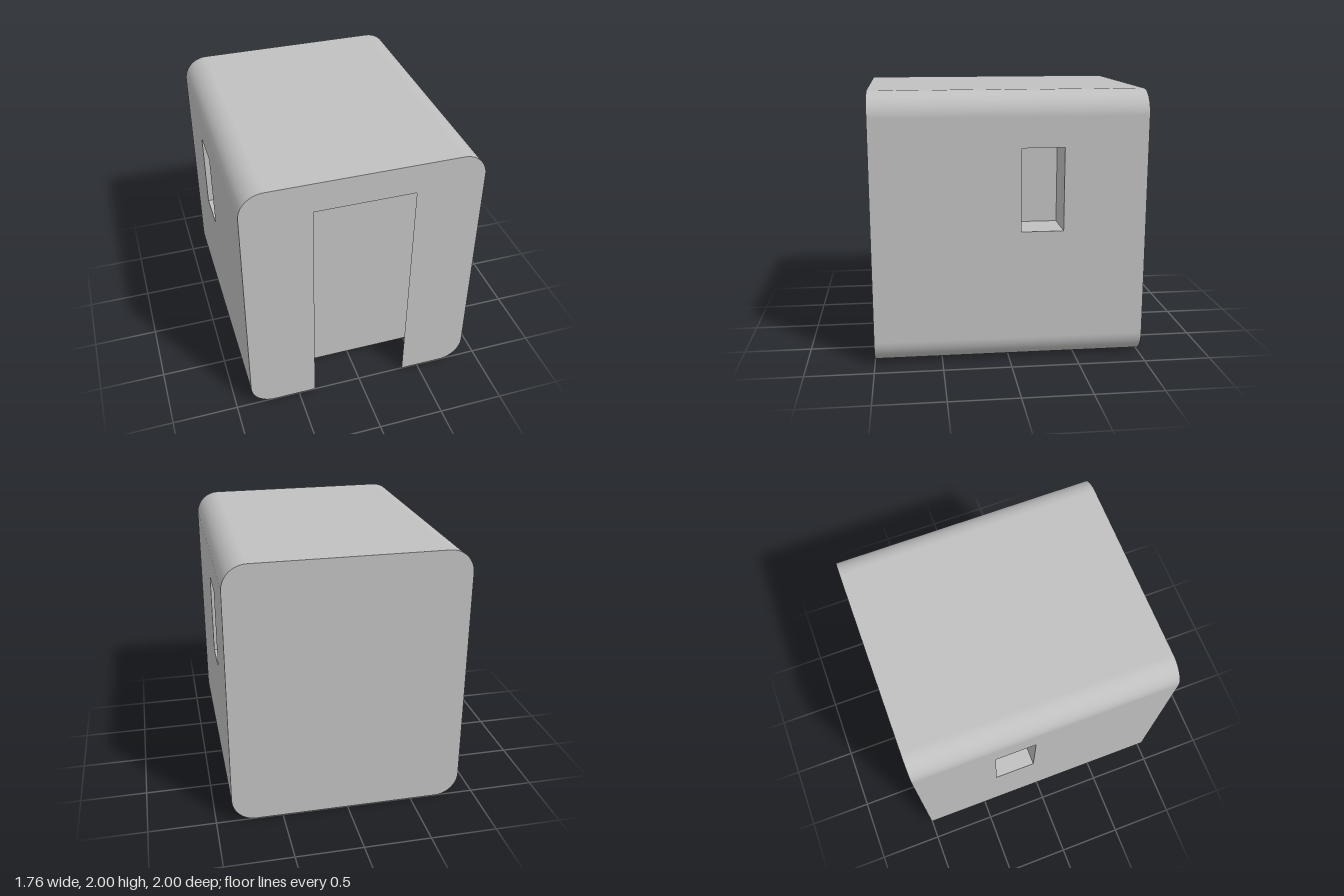
import * as THREE from 'three';

const W = 0.88, H = 2, L = 1, R = 0.18;            // half width, height, half length, corner radius
const DOOR = { w: 0.37, inner: 0.61, h: 1.77, z: 0.69 };
const WIN = { y0: 0.99, y1: 1.6, zFront: -0.08, zBack: -0.39, depth: 0.31 };

const shell = new THREE.MeshStandardMaterial({ color: 0xc0c0c0, side: THREE.DoubleSide });
shell.name = 'lightGrey';

const polygon = (pts) => new THREE.Shape(pts.map(([x, y]) => new THREE.Vector2(x, y)));

// Rounded end outline, optionally with the doorway cut in from the bottom edge
function endShape(withDoor) {
  const s = new THREE.Shape();
  const d = withDoor ? DOOR.w : 0;
  s.moveTo(d, 0);
  s.lineTo(W - R, 0);
  s.absarc(W - R, R, R, -Math.PI / 2, 0);
  s.absarc(W - R, H - R, R, 0, Math.PI / 2);
  s.absarc(-W + R, H - R, R, Math.PI / 2, Math.PI);
  s.absarc(-W + R, R, R, Math.PI, Math.PI * 1.5);
  if (withDoor) {
    s.lineTo(-d, 0);
    s.lineTo(-d, DOOR.h);
    s.lineTo(d, DOOR.h);
  }
  s.closePath();
  return s;
}

// Recess: flat walls from an outer loop to an inner loop, plus the inner face
function recess(outer, inner, closed) {
  const pos = [];
  const quad = (a, b, c, d) => pos.push(...a, ...b, ...c, ...a, ...c, ...d);
  const n = outer.length;
  for (let i = 0; i < (closed ? n : n - 1); i++) {
    const j = (i + 1) % n;
    quad(outer[i], outer[j], inner[j], inner[i]);
  }
  quad(...inner);
  const g = new THREE.BufferGeometry();
  g.setAttribute('position', new THREE.Float32BufferAttribute(pos, 3));
  g.computeVertexNormals();
  return g;
}

export function createModel() {
  const model = new THREE.Group();
  model.name = 'cabin';
  const add = (name, geometry) => {
    const mesh = new THREE.Mesh(geometry, shell);
    mesh.name = name;
    model.add(mesh);
  };

  // End walls
  add('frontWall', new THREE.ShapeGeometry(endShape(true), 16).translate(0, 0, L));
  add('backWall', new THREE.ShapeGeometry(endShape(false), 16).rotateY(Math.PI).translate(0, 0, -L));

  // Roof, and floor with the doorway notch
  add('roof', new THREE.PlaneGeometry(2 * (W - R), 2 * L).rotateX(-Math.PI / 2).translate(0, H, 0));
  const f = W - R;
  add('floor', new THREE.ShapeGeometry(polygon([
    [-f, -L], [f, -L], [f, L], [DOOR.w, L], [DOOR.inner, DOOR.z],
    [-DOOR.inner, DOOR.z], [-DOOR.w, L], [-f, L],
  ])).rotateX(Math.PI / 2));

  // Rounded long edges
  for (let i = 0; i < 4; i++) {
    const side = i < 2 ? 1 : -1;
    const y = i === 1 || i === 2 ? H - R : R;
    add('roundedEdge', new THREE.CylinderGeometry(R, R, 2 * L, 16, 1, true, i * Math.PI / 2, Math.PI / 2)
      .rotateX(Math.PI / 2).translate(side * (W - R), y, 0));
  }

  // Side walls with window recesses
  for (const side of [1, -1]) {
    const { y0, y1, zFront, zBack, depth } = WIN;
    const wall = polygon([[-L, R], [L, R], [L, H - R], [-L, H - R]]);
    const u0 = -side * zFront, u1 = -side * zBack;
    wall.holes.push(polygon([[u0, y0], [u0, y1], [u1, y1], [u1, y0]]));
    const name = side > 0 ? 'left' : 'right';
    add(name + 'Wall', new THREE.ShapeGeometry(wall).rotateY(side * Math.PI / 2).translate(side * W, 0, 0));

    const loop = (x) => {
      const pts = [[x, y0, zFront], [x, y0, zBack], [x, y1, zBack], [x, y1, zFront]];
      return side > 0 ? pts : pts.reverse();
    };
    add(name + 'WindowRecess', recess(loop(side * W), loop(side * (W - depth)), true));
  }

  // Doorway recess, widening inwards and open at the bottom
  const doorLoop = (w, z) => [[w, 0, z], [w, DOOR.h, z], [-w, DOOR.h, z], [-w, 0, z]];
  add('doorwayRecess', recess(doorLoop(DOOR.w, L), doorLoop(DOOR.inner, DOOR.z), false));

  return model;
}
